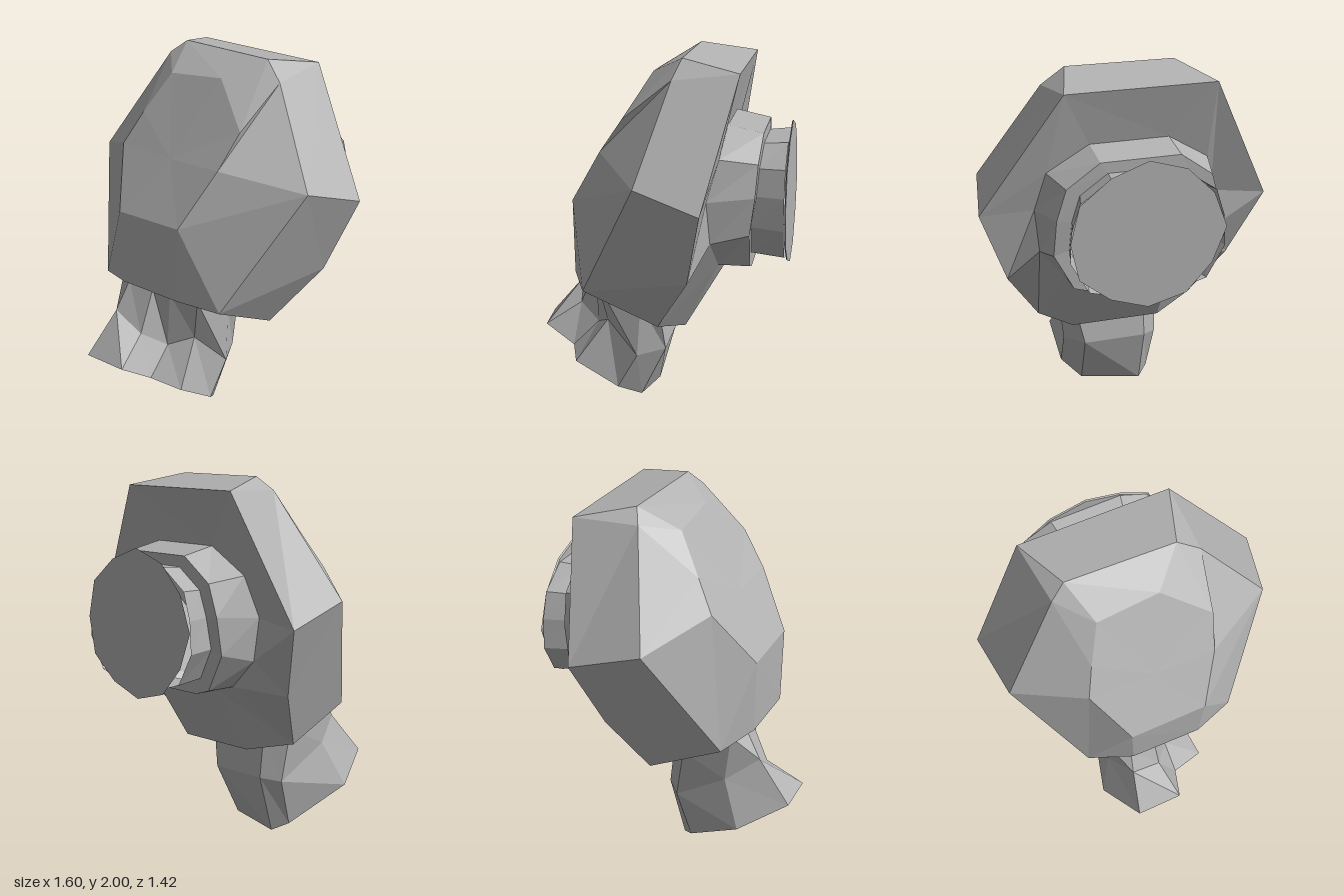
import * as THREE from 'three';

const stone = new THREE.MeshStandardMaterial({ color: 0xb2b2b2, flatShading: true, side: THREE.DoubleSide });
stone.name = 'grey';

// Joins equal-length loops of corners, with optional fan caps on the first and last loop.
function loft(name, loops, capStart, capEnd) {
  const out = [];
  const tri = (a, b, c) => {
    const area = new THREE.Vector3().subVectors(b, a).cross(new THREE.Vector3().subVectors(c, a)).length();
    if (area > 1e-6) for (const p of [a, b, c]) out.push(p.x, p.y, p.z);
  };
  const rings = loops.map(l => l.map(p => new THREE.Vector3(...p)));
  const n = rings[0].length;
  const centre = r => r.reduce((s, p) => s.add(p), new THREE.Vector3()).divideScalar(n);
  for (let i = 0; i < n; i++) {
    const j = (i + 1) % n;
    for (let r = 0; r + 1 < rings.length; r++) {
      const a = rings[r], b = rings[r + 1];
      tri(a[i], b[i], b[j]);
      tri(a[i], b[j], a[j]);
    }
    if (capStart) tri(centre(rings[0]), rings[0][i], rings[0][j]);
    const e = rings[rings.length - 1];
    if (capEnd) tri(centre(e), e[j], e[i]);
  }
  const g = new THREE.BufferGeometry();
  g.setAttribute('position', new THREE.Float32BufferAttribute(out, 3));
  g.computeVertexNormals();
  const m = new THREE.Mesh(g, stone);
  m.name = name;
  return m;
}

// Completes a half loop (bottom to top on the +x side) with its mirror.
const mirror = half => [...half, ...half.slice().reverse().map(([x, y, z]) => [-x, y, z])];

export function createModel() {
  const group = new THREE.Group();
  group.name = 'facetedHead';

  // Head: front panel, front rim, back rim, recess around the connector
  const panel = [[.2, 1.185, .48], [.2, 1.185, .48], [.32, 1.49, .3], [.32, 1.49, .3], [.36, 1.68, .17], [.11, 1.9, .04],
    [-.24, 1.87, .055], [-.33, 1.66, .19], [-.39, 1.49, .29], [-.39, 1.49, .29], [-.23, 1.18, .485], [-.23, 1.18, .485]];
  const frontRim = [[.18, .765, .475], [.41, .73, .385], [.725, 1.39, .05], [.725, 1.39, .05], [.4, 1.9, -.1], [.28, 2, -.14],
    [-.325, 2, -.16], [-.41, 1.93, -.115], [-.755, 1.36, .055], [-.755, 1.36, .055], [-.455, .73, .376], [-.22, .765, .475]];
  const backRim = [[.25, .51, -.16], [.415, .55, -.03], [.635, .87, -.22], [.8, 1.28, -.305], [.377, 1.94, -.457], [.377, 1.94, -.457],
    [-.46, 1.94, -.466], [-.46, 1.94, -.466], [-.8, 1.25, -.34], [-.635, .87, -.22], [-.485, .56, -.03], [-.25, .51, -.16]];
  const recess = mirror([[.25, .87, -.37], [.35, .9, -.35], [.48, 1.05, -.32], [.5, 1.28, -.3], [.45, 1.5, -.36], [.22, 1.64, -.38]]);
  group.add(loft('head', [panel, frontRim, backRim, recess], true, false));

  // Back connector: collar, stepped neck
  const collar = mirror([[.25, .87, -.52], [.35, .9, -.52], [.46, 1.1, -.525], [.45, 1.3, -.55], [.4, 1.47, -.56], [.22, 1.6, -.57]]);
  const resize = (sx, sy, dz) => collar.map(([x, y, z]) => [x * sx, 1.245 + (y - 1.245) * sy, dz ?? z]);
  group.add(loft('backConnector', [recess, collar, resize(.82, .83), resize(.92, .86, -.7)], false, false));

  // End plate: slightly irregular thin disc
  const plate = (s, z) => Array.from({ length: 12 }, (_, i) => {
    const a = i / 12 * Math.PI * 2, k = s * (1 + .03 * Math.sin(i * 2.4));
    return [.005 + .42 * k * Math.cos(a), 1.23 + .395 * k * Math.sin(a), z];
  });
  group.add(loft('endPlate', [plate(.98, -.703), plate(1, -.71)], true, true));

  // Stem: slanted flat sole, narrow ankle, top set into the head
  const sole = [[.21, .1], [.21, .24], [.03, .27], [-.02, .37], [-.28, .375], [-.41, .23], [-.29, .04], [-.22, 0], [.12, .03]]
    .map(([x, y]) => [x, y, .06 + 1.73 * y]);
  const ankle = [[.225, .3, .12], [.15, .48, .3], [.02, .42, .38], [-.07, .5, .5], [-.24, .6, .52],
    [-.33, .48, .35], [-.31, .3, .05], [-.22, .32, -.03], [.14, .32, -.03]];
  const top = [[.22, .6, .1], [.22, .73, .35], [.05, .74, .39], [-.07, .74, .4], [-.22, .76, .43],
    [-.32, .75, .38], [-.33, .6, .1], [-.22, .58, 0], [.2, .58, 0]];
  group.add(loft('stem', [sole, ankle, top], true, true));

  return group;
}
